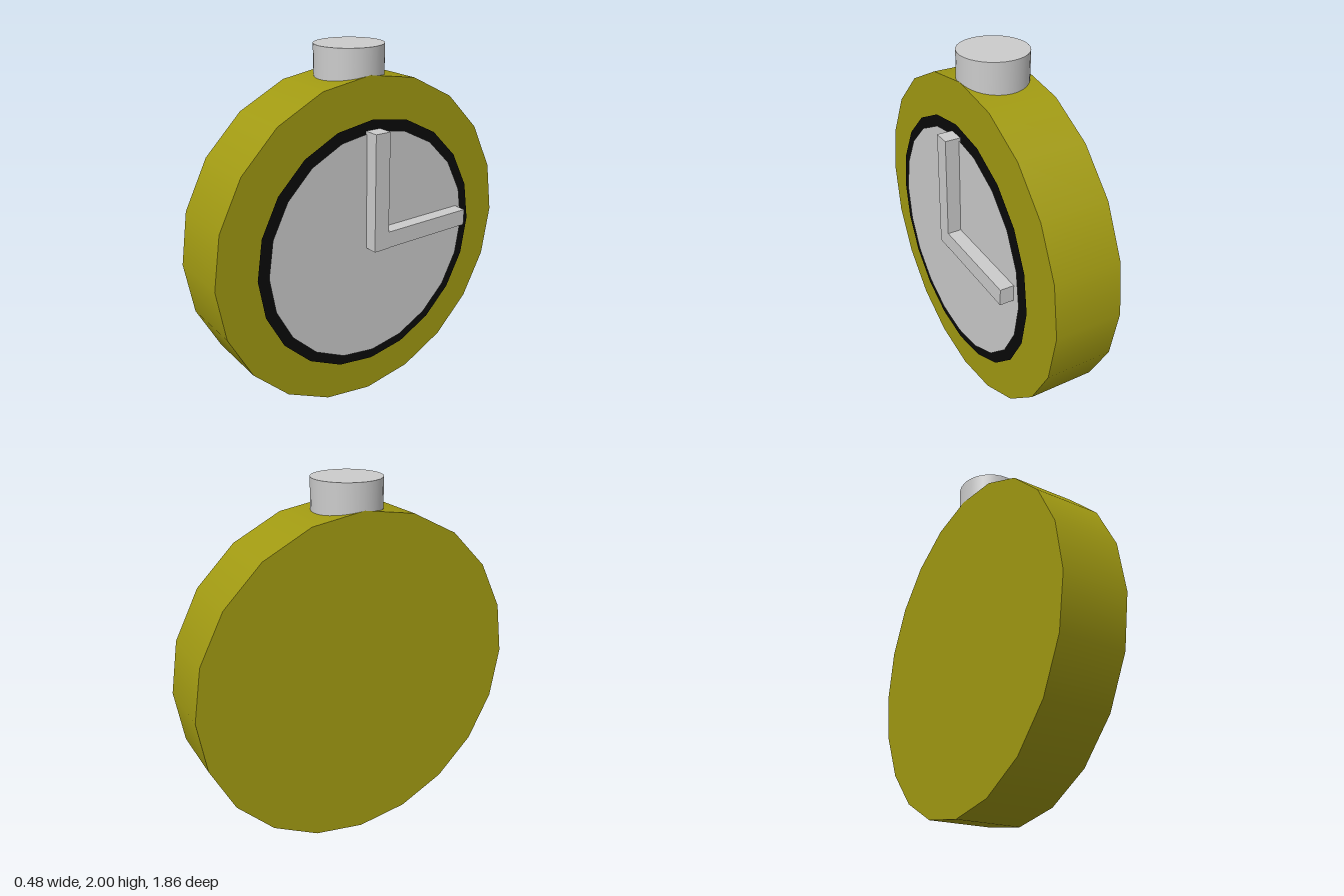
import * as THREE from 'three';

const CENTER_Y = 0.932;

const grey = new THREE.MeshStandardMaterial({ color: 0xcccccc });
const greyFlat = new THREE.MeshStandardMaterial({ color: 0xcccccc, side: THREE.DoubleSide });
const yellow = new THREE.MeshStandardMaterial({ color: 0xa19a12 });
const blackFlat = new THREE.MeshStandardMaterial({ color: 0x090909, side: THREE.DoubleSide });

export function createModel() {
  const group = new THREE.Group();

  const add = (name, geometry, material, x, y, z) => {
    const mesh = new THREE.Mesh(geometry, material);
    mesh.name = name;
    mesh.position.set(x, y, z);
    group.add(mesh);
  };

  // Twenty-sided case whose axis runs along x
  const caseGeometry = new THREE.CylinderGeometry(0.93, 0.93, 0.37, 20).rotateZ(-Math.PI / 2);
  add('case', caseGeometry, yellow, -0.057, CENTER_Y, 0);

  // Flat rim and dial, floating just in front of the case and facing +x
  const addFace = (name, radius, x, material) =>
    add(name, new THREE.CircleGeometry(radius, 20).rotateY(Math.PI / 2), material, x, CENTER_Y, 0);
  addFace('dialRim', 0.71, 0.154, blackFlat);
  addFace('dial', 0.65, 0.163, greyFlat);

  // Crown button on top, sunk into the case
  add('crown', new THREE.CylinderGeometry(0.185, 0.185, 0.25, 32), grey, -0.057, 1.875, 0);

  // Hands meeting at the centre, their backs sunk through the dial
  add('minuteHand', new THREE.BoxGeometry(0.092, 0.648, 0.092), grey, 0.193, 1.264, 0);
  add('hourHand', new THREE.BoxGeometry(0.092, 0.093, 0.646), grey, 0.193, 0.989, -0.277);

  return group;
}
